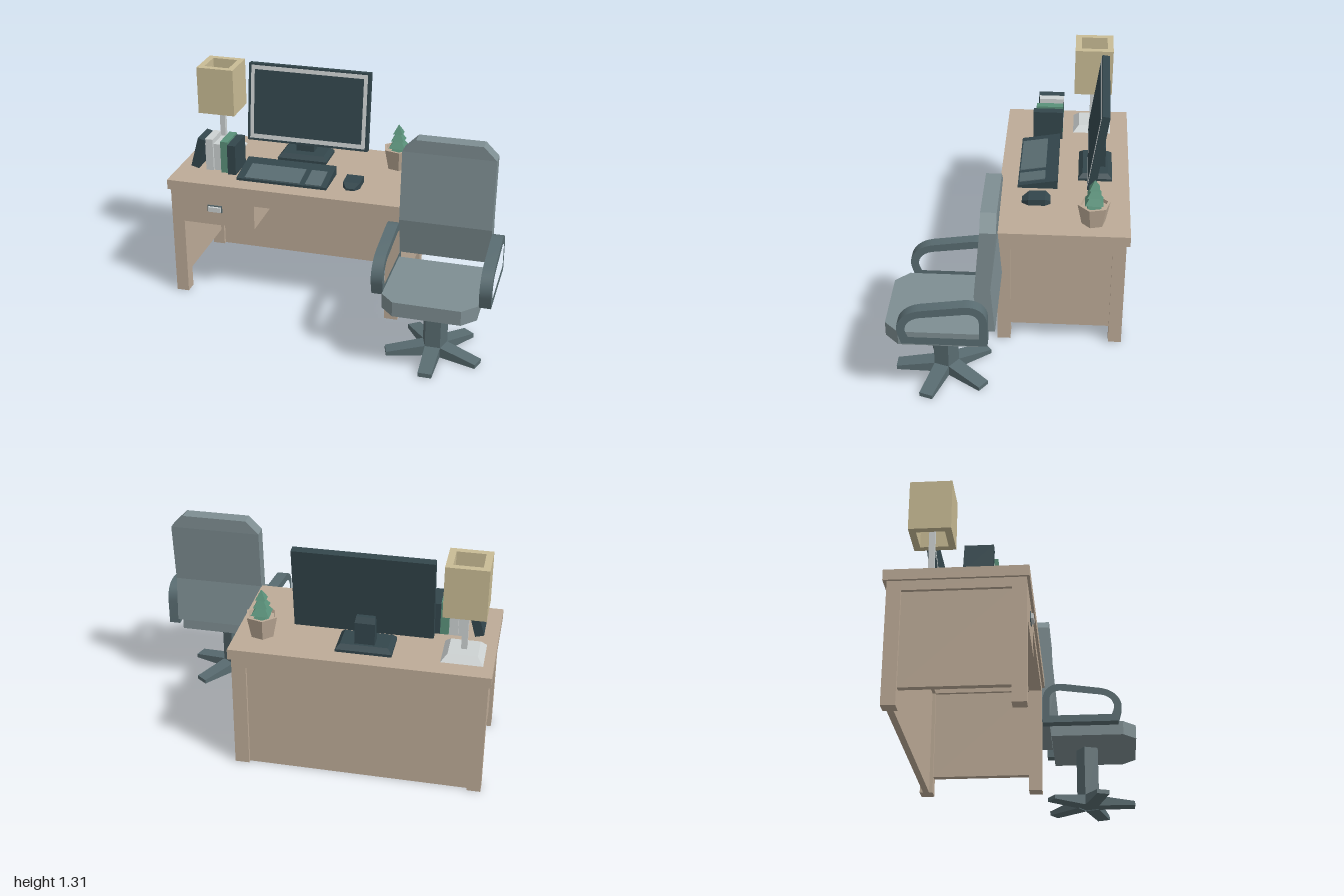
import * as THREE from 'three';
import { toCreasedNormals } from 'three/addons/utils/BufferGeometryUtils.js';

const mat = (name, color) => new THREE.MeshStandardMaterial({ name, color });

export function createModel() {
  const wood = mat('wood', 0xbdab97);
  const dark = mat('dark plastic', 0x33464c);
  const slate = mat('slate plastic', 0x596c71);
  const fabric = mat('grey fabric', 0x7e8e92);
  const light = mat('light grey', 0xcdd2d2);
  const shadeMat = mat('lamp shade', 0xc9bc95);
  const green = mat('green', 0x5a917a);

  const model = new THREE.Group();
  const group = (name) => {
    const g = new THREE.Group();
    g.name = name;
    model.add(g);
    return g;
  };
  const add = (parent, name, geo, material) => {
    const m = new THREE.Mesh(geo, material);
    m.name = name;
    parent.add(m);
    return m;
  };
  // Box given by its limits on each axis
  const box = (parent, name, material, x0, x1, y0, y1, z0, z1) => {
    const m = add(parent, name, new THREE.BoxGeometry(x1 - x0, y1 - y0, z1 - z0), material);
    m.position.set((x0 + x1) / 2, (y0 + y1) / 2, (z0 + z1) / 2);
    return m;
  };
  const flat = (g) => {
    const f = g.toNonIndexed();
    f.computeVertexNormals();
    return f;
  };
  // Slab from rectangular sections along y: [y, halfWidth, zBack, zFront]
  const slab = (levels) => {
    const n = levels.length - 1;
    const g = new THREE.BoxGeometry(1, 1, 1, 1, n, 1);
    const p = g.attributes.position;
    for (let i = 0; i < p.count; i++) {
      const [y, w, zb, zf] = levels[Math.round((p.getY(i) + 0.5) * n)];
      p.setXYZ(i, Math.sign(p.getX(i)) * w, y, p.getZ(i) < 0 ? zb : zf);
    }
    return flat(g);
  };
  // Same, with sections along z: [z, halfWidth, bottom, top]
  const lengthSlab = (levels) =>
    slab(levels.map(([z, w, lo, hi]) => [z, w, -hi, -lo])).rotateX(Math.PI / 2);

  // Desk
  const desk = group('desk');
  box(desk, 'deskTop', wood, -1, 0.415, 0.685, 0.745, -0.65, 0.1);
  for (const [x0, x1] of [[-0.985, -0.91], [0.32, 0.4]]) {
    for (const [z0, z1] of [[-0.63, -0.555], [0.01, 0.085]])
      box(desk, 'deskLeg', wood, x0, x1, 0, 0.685, z0, z1);
    box(desk, 'sideRail', wood, x0, x1, 0.63, 0.685, -0.555, 0.01);
    box(desk, 'sidePanel', wood, x0 + 0.02, x1 - 0.02, 0.1, 0.63, -0.555, 0.01);
  }
  box(desk, 'backRail', wood, -0.91, 0.32, 0.63, 0.685, -0.63, -0.555);
  box(desk, 'backPanel', wood, -0.91, 0.32, 0, 0.63, -0.61, -0.575);
  box(desk, 'frontRail', wood, -0.47, 0.32, 0.63, 0.685, 0.01, 0.085);
  box(desk, 'drawer', wood, -0.91, -0.47, 0.48, 0.685, -0.55, 0.085);
  box(desk, 'handlePlate', slate, -0.757, -0.667, 0.563, 0.607, 0.085, 0.09);
  box(desk, 'handle', light, -0.75, -0.674, 0.57, 0.6, 0.09, 0.104);

  // Lamp
  const lamp = group('lamp');
  lamp.position.set(-0.832, 0, -0.427);
  add(lamp, 'lampBase', slab([[0.745, 0.113, -0.115, 0.115], [0.782, 0.08, -0.08, 0.08]]), light);
  box(lamp, 'lampPole', light, -0.016, 0.016, 0.78, 1.18, -0.016, 0.016);
  const square = (P, r) =>
    new P([[-r, -r], [r, -r], [r, r], [-r, r]].map(([x, y]) => new THREE.Vector2(x, y)));
  const shadeShape = square(THREE.Shape, 0.114);
  shadeShape.holes.push(square(THREE.Path, 0.077));
  const shade = add(lamp, 'lampShade',
    new THREE.ExtrudeGeometry(shadeShape, { depth: 0.29, bevelEnabled: false }).rotateX(-Math.PI / 2), shadeMat);
  shade.position.y = 1.015;

  // Monitor, leaning back on its stand
  const monitor = group('monitor');
  add(monitor, 'standBase', slab([[0.745, 0.153, -0.55, -0.353], [0.76, 0.153, -0.55, -0.353],
    [0.785, 0.13, -0.525, -0.378]]), dark).position.x = -0.308;
  add(monitor, 'standNeck', slab([[0.78, 0.055, -0.51, -0.43], [0.91, 0.055, -0.51, -0.43],
    [0.94, 0.05, -0.49, -0.44]]), dark).position.x = -0.308;
  const display = new THREE.Group();
  display.name = 'display';
  display.position.set(-0.291, 0.835, -0.405);
  display.rotation.x = -0.143;
  monitor.add(display);
  box(display, 'displayBody', dark, -0.378, 0.378, 0, 0.478, -0.045, 0);
  box(display, 'displayBorder', light, -0.362, 0.362, 0.014, 0.467, 0, 0.002);
  box(display, 'screen', dark, -0.339, 0.339, 0.042, 0.442, 0.002, 0.004);

  // Keyboard
  const keyboard = group('keyboard');
  keyboard.position.x = -0.331;
  add(keyboard, 'keyboardBody', lengthSlab([[-0.235, 0.274, 0.745, 0.8], [-0.005, 0.274, 0.745, 0.76]]), dark);
  for (const [x0, x1] of [[-0.225, 0.11], [0.144, 0.24]]) {
    const keys = box(keyboard, 'keys', slate, x0, x1, 0.778, 0.784, -0.163, -0.012);
    keys.rotation.x = 0.172;
    keys.position.y = 0.776;
  }

  // Mouse
  const mouse = add(group('mouse'), 'mouseBody', lengthSlab([[-0.2, 0.028, 0.745, 0.765],
    [-0.17, 0.05, 0.745, 0.786], [-0.075, 0.05, 0.745, 0.78], [-0.037, 0.024, 0.745, 0.757]]), dark);
  mouse.position.x = 0.076;

  // Books, the first one leaning
  const books = group('books');
  const leaning = box(books, 'leaningBook', dark, -0.897, -0.847, 0.75, 0.94, -0.25, -0.095);
  leaning.rotation.z = -0.27;
  leaning.position.set(-0.872, 0.848, -0.172);
  [[-0.828, -0.781, 0.942, -0.1, light], [-0.779, -0.73, 0.912, -0.11, light],
    [-0.728, -0.681, 0.942, -0.085, green], [-0.68, -0.63, 0.93, -0.068, dark]].forEach(([x0, x1, y, z, m]) =>
    box(books, 'book', m, x0, x1, 0.745, y, -0.248, z));

  // Potted tree
  const plant = group('plant');
  plant.position.set(0.27, 0, -0.445);
  const potProfile = [[0, 0.745], [0.068, 0.745], [0.094, 0.87], [0.078, 0.87], [0.074, 0.85], [0, 0.85]]
    .map(([r, y]) => new THREE.Vector2(r, y));
  add(plant, 'pot', flat(new THREE.LatheGeometry(potProfile, 6)), wood).rotation.y = 0.25;
  [[0.85, 0.935, 0.04], [0.877, 0.955, 0.05], [0.92, 0.985, 0.039], [0.963, 1.015, 0.029]].forEach(([y0, y1, r]) => {
    add(plant, 'foliage', slab([[y0, r, -r, r], [y1, 0.002, -0.002, 0.002]]), green);
  });

  // Chair
  const chair = group('chair');
  chair.position.x = 0.673;
  add(chair, 'backrest', slab([[0.48, 0.26, 0.055, 0.125], [0.7, 0.26, 0.073, 0.163], [0.75, 0.26, 0.077, 0.159],
    [1.1, 0.26, 0.045, 0.128], [1.175, 0.185, 0.045, 0.128]]), fabric);
  add(chair, 'seat', lengthSlab([[0.14, 0.26, 0.37, 0.455], [0.57, 0.26, 0.37, 0.455],
    [0.647, 0.185, 0.37, 0.455]]), fabric);

  // Armrest loop drawn in the z-y plane
  const loop = new THREE.Shape();
  loop.moveTo(0.542, 0.433);
  loop.lineTo(0.09, 0.433);
  loop.lineTo(0.09, 0.58);
  loop.bezierCurveTo(0.09, 0.65, 0.14, 0.69, 0.21, 0.683);
  loop.lineTo(0.445, 0.648);
  loop.bezierCurveTo(0.53, 0.632, 0.58, 0.56, 0.56, 0.5);
  loop.closePath();
  const hole = new THREE.Path();
  hole.moveTo(0.504, 0.477);
  hole.lineTo(0.132, 0.477);
  hole.lineTo(0.132, 0.58);
  hole.bezierCurveTo(0.132, 0.62, 0.16, 0.642, 0.205, 0.637);
  hole.lineTo(0.44, 0.605);
  hole.bezierCurveTo(0.5, 0.595, 0.53, 0.545, 0.515, 0.505);
  hole.closePath();
  loop.holes.push(hole);
  const armGeo = toCreasedNormals(new THREE.ExtrudeGeometry(loop,
    { depth: 0.064, bevelEnabled: false, curveSegments: 8 }).rotateY(-Math.PI / 2), 0.6);
  for (const x of [-0.259, 0.327]) add(chair, 'armrest', armGeo, slate).position.x = x;

  // Five-sided post and star base
  const base = new THREE.Group();
  base.name = 'chairBase';
  base.position.z = 0.354;
  chair.add(base);
  const post = add(base, 'post', flat(new THREE.CylinderGeometry(0.073, 0.073, 0.37, 5)), slate);
  post.position.y = 0.19;
  post.rotation.y = Math.PI;
  const footGeo = lengthSlab([[0.055, 0.043, 0, 0.062], [0.275, 0.038, 0, 0.025]]);
  for (let i = 0; i < 5; i++) add(base, 'foot', footGeo, slate).rotation.y = (i * Math.PI * 2) / 5;

  return model;
}
